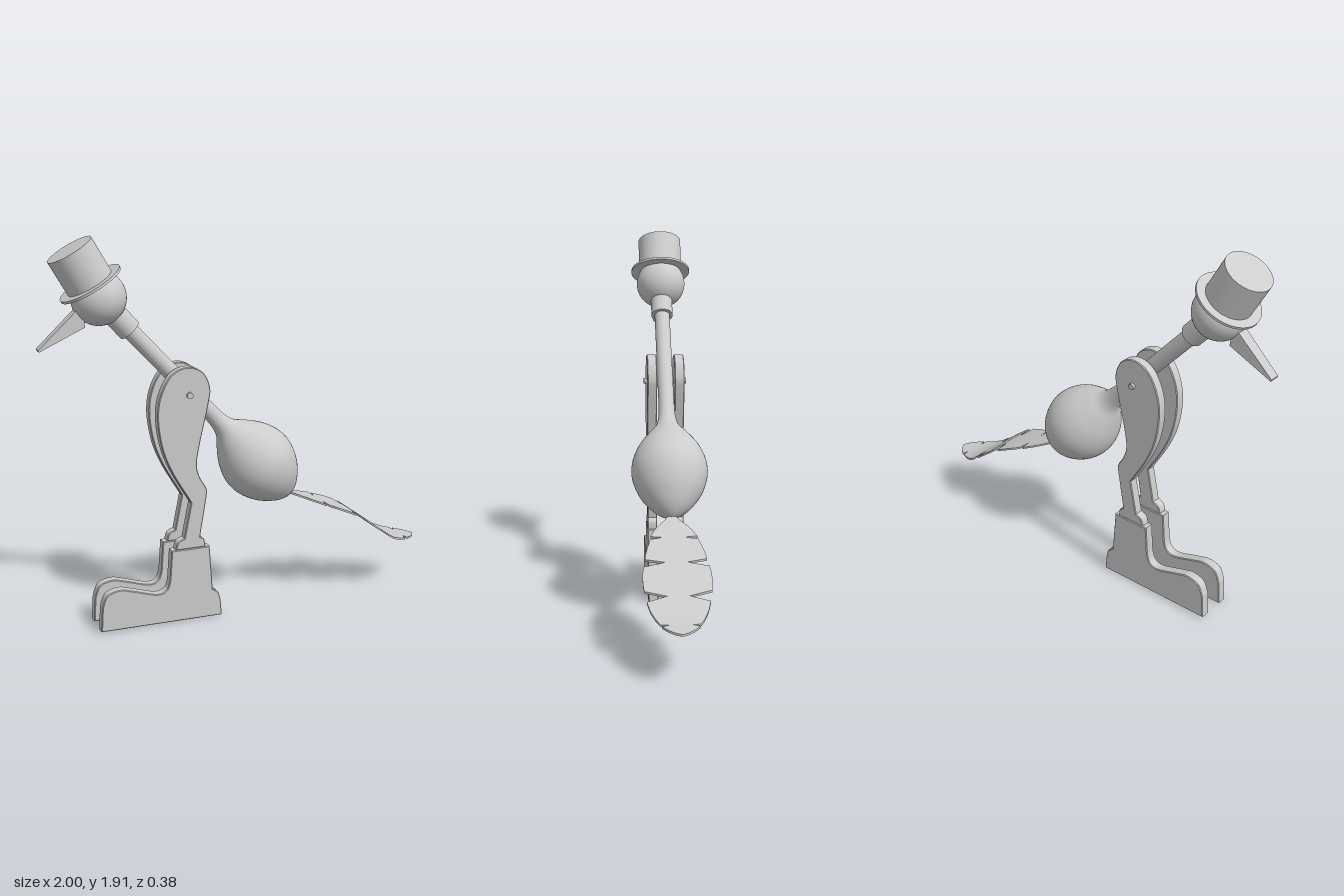
import * as THREE from 'three';

const material = new THREE.MeshStandardMaterial({ color: 0xcccccc });

function part(name, geometry, parent, x = 0, y = 0, z = 0) {
  const mesh = new THREE.Mesh(geometry, material);
  mesh.name = name;
  mesh.position.set(x, y, z);
  parent.add(mesh);
  return mesh;
}

const vectors = (points) => points.map(([x, y]) => new THREE.Vector2(x, y));

// Flat board cut from an outline, centred on z = 0, with slightly softened edges
function board(shape, thickness, bevel = 0.004) {
  const geometry = new THREE.ExtrudeGeometry(shape, {
    depth: thickness - 2 * bevel, curveSegments: 10,
    bevelEnabled: bevel > 0, bevelSize: bevel, bevelThickness: bevel, bevelOffset: -bevel, bevelSegments: 1,
  });
  return geometry.translate(0, 0, -thickness / 2 + bevel);
}

function legShape() {
  const shape = new THREE.Shape();
  shape.moveTo(-0.377, 0.375);
  shape.lineTo(-0.227, 0.375);
  shape.splineThru(vectors([[-0.23, 0.412], [-0.252, 0.43]]));
  shape.lineTo(-0.217, 0.63);
  shape.splineThru(vectors([[-0.217, 0.675], [-0.25, 0.735], [-0.265, 0.8], [-0.25, 0.9],
    [-0.203, 1.1], [-0.195, 1.18], [-0.23, 1.255], [-0.305, 1.285], [-0.385, 1.255],
    [-0.44, 1.165], [-0.46, 1.05], [-0.44, 0.9], [-0.39, 0.77], [-0.297, 0.61]]));
  shape.lineTo(-0.334, 0.43);
  shape.splineThru(vectors([[-0.365, 0.415], [-0.377, 0.385]]));
  return shape;
}

function bootShape() {
  const shape = new THREE.Shape();
  shape.moveTo(-0.765, 0.006);
  shape.lineTo(-0.14, 0);
  shape.lineTo(-0.146, 0.08);
  shape.splineThru(vectors([[-0.158, 0.122], [-0.188, 0.145]]));
  shape.lineTo(-0.203, 0.375);
  shape.lineTo(-0.4, 0.375);
  shape.lineTo(-0.412, 0.22);
  shape.splineThru(vectors([[-0.43, 0.175], [-0.48, 0.16], [-0.6, 0.195], [-0.665, 0.21],
    [-0.73, 0.19], [-0.757, 0.13]]));
  return shape;
}

// Thin curved feather: a box whose slices follow a path, with notched edges
function tailGeometry() {
  const path = new THREE.SplineCurve(vectors([[0.26, 0.575], [0.43, 0.515], [0.6, 0.445],
    [0.72, 0.36], [0.82, 0.29], [0.9, 0.265], [1.0, 0.252]]));
  const samples = path.getPoints(120);
  const heightAt = (x) => {
    const i = Math.max(1, samples.findIndex((p) => p.x >= x - 1e-6));
    const a = samples[i - 1], b = samples[i];
    return a.y + (b.y - a.y) * (x - a.x) / (b.x - a.x);
  };
  // x and half width of each slice
  const slices = [[0.26, 0.015], [0.3, 0.035], [0.34, 0.066], [0.38, 0.09], [0.425, 0.11], [0.433, 0.05],
    [0.445, 0.112], [0.5, 0.127], [0.54, 0.136], [0.582, 0.142], [0.6, 0.05], [0.622, 0.15],
    [0.66, 0.157], [0.7, 0.156], [0.73, 0.152], [0.752, 0.05], [0.775, 0.142], [0.82, 0.128],
    [0.87, 0.107], [0.91, 0.088], [0.914, 0.05], [0.925, 0.083], [0.96, 0.058], [0.985, 0.032], [1.0, 0.004]];
  const geometry = new THREE.BoxGeometry(1, 0.01, 2, slices.length - 1, 1, 1);
  const pos = geometry.attributes.position;
  for (let i = 0; i < pos.count; i++) {
    const [x, w] = slices[Math.round((pos.getX(i) + 0.5) * (slices.length - 1))];
    pos.setXYZ(i, x, pos.getY(i) + heightAt(x), pos.getZ(i) * w);
  }
  geometry.computeVertexNormals();
  return geometry;
}

export function createModel() {
  const model = new THREE.Group();
  model.name = 'dippingBird';

  // Tilted glass tube that swells into the bulb
  const body = new THREE.Group();
  body.name = 'body';
  body.position.set(-0.56, 1.465, 0);
  body.rotation.z = 0.745;
  model.add(body);
  const bulb = new THREE.SplineCurve(vectors([[0, -1.224], [0.045, -1.205], [0.095, -1.165], [0.152, -1.09],
    [0.185, -1.0], [0.184, -0.92], [0.155, -0.84], [0.105, -0.765], [0.06, -0.705], [0.043, -0.64], [0.04, -0.56]]));
  const profile = [...bulb.getPoints(50), new THREE.Vector2(0.04, 0.1)];
  profile[0].x = 0;
  part('neckAndBulb', new THREE.LatheGeometry(profile, 48), body);
  part('collar', new THREE.CylinderGeometry(0.057, 0.057, 0.15, 40), body, 0, 0.075);

  // Head
  part('head', new THREE.SphereGeometry(0.13, 48, 32), model, -0.705, 1.625);

  // Top hat
  const hat = new THREE.Group();
  hat.name = 'hat';
  hat.position.set(-0.742, 1.69, 0);
  hat.rotation.z = Math.PI / 6;
  model.add(hat);
  part('hatBrim', new THREE.CylinderGeometry(0.158, 0.158, 0.012, 56), hat);
  part('hatCrown', new THREE.CylinderGeometry(0.115, 0.115, 0.185, 48), hat, 0, 0.0925);

  // Wedge beak, a little narrower at the tip
  const beakShape = new THREE.Shape(vectors([[-0.997, 1.392], [-0.78, 1.495], [-0.79, 1.6], [-1.0, 1.402]]));
  const beak = board(beakShape, 0.06, 0);
  const pos = beak.attributes.position;
  for (let i = 0; i < pos.count; i++) if (pos.getX(i) < -0.9) pos.setZ(i, pos.getZ(i) * 0.85);
  part('beak', beak, model);

  // Pair of legs and boots
  for (const side of [-1, 1]) {
    const name = side > 0 ? 'front' : 'rear';
    part(name + 'Leg', board(legShape(), 0.05), model, 0, 0, side * 0.07);
    part(name + 'Boot', board(bootShape(), 0.052), model, 0, 0, side * 0.07);
  }

  // Pivot pin through both hips
  part('pivotPin', new THREE.CylinderGeometry(0.015, 0.015, 0.22, 20), model, -0.3, 1.15).rotation.x = Math.PI / 2;

  // Tail feather
  part('tailFeather', tailGeometry(), model);

  return model;
}
